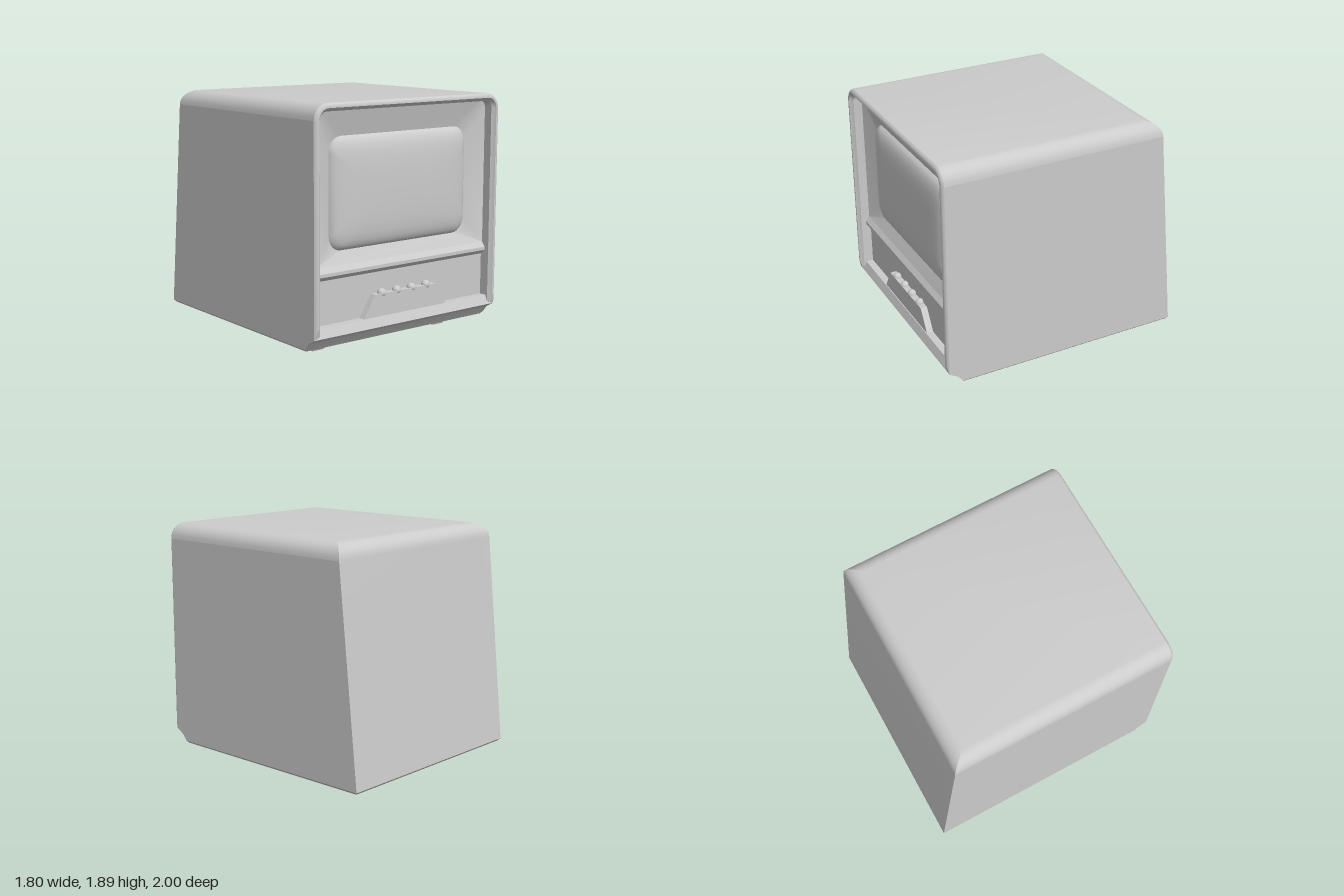
import * as THREE from 'three';
import { toCreasedNormals } from 'three/addons/utils/BufferGeometryUtils.js';

const grey = new THREE.MeshStandardMaterial({ color: 0xcccccc, side: THREE.DoubleSide });

// Surface through rows of equally many points; split(j) picks the quad diagonal
function loft(rows, crease = 0.5, split = () => false) {
  const n = rows[0].length, index = [];
  for (let i = 0; i < rows.length - 1; i++) {
    for (let j = 0; j < n - 1; j++) {
      const a = i * n + j, b = a + 1, c = a + n, d = c + 1;
      if (split(j)) index.push(a, c, d, a, d, b);
      else index.push(a, c, b, b, c, d);
    }
  }
  const geo = new THREE.BufferGeometry();
  geo.setAttribute('position', new THREE.Float32BufferAttribute(rows.flat(2), 3));
  geo.setIndex(index);
  return toCreasedNormals(geo, crease);
}

// Clockwise rounded rectangle, always the same number of points
function roundedRect(hw, y0, y1, rTop, rBottom, z, steps = 6) {
  const pts = [];
  const corners = [[-1, y0, rBottom, 270], [-1, y1, rTop, 180], [1, y1, rTop, 90], [1, y0, rBottom, 0]];
  for (const [s, y, r, start] of corners) {
    const cy = y === y1 ? y1 - r : y0 + r;
    for (let k = 0; k <= steps; k++) {
      const t = THREE.MathUtils.degToRad(start - 90 * k / steps);
      pts.push([s * (hw - r) + r * Math.cos(t), cy + r * Math.sin(t), z]);
    }
  }
  pts.push(pts[0]);
  return pts;
}

const W = 0.9, TOP = 1.89, R = 0.12, N = 6;
const arc = Array.from({ length: N + 1 }, (_, k) => k * Math.PI / 2 / N);

export function createModel() {
  const model = new THREE.Group();
  const add = (name, geo) => {
    const mesh = new THREE.Mesh(geo, grey);
    mesh.name = name;
    model.add(mesh);
    return mesh;
  };

  // Back and top: rounded along the sides and the back, mitred where they meet
  const half = arc.map(t => [W - R + R * Math.cos(t), TOP - R + R * Math.sin(t)]);
  const columns = [...half.map(([x, y]) => [-x, y]), ...half.slice().reverse()];
  const stations = [[-1, 0.11], ...arc.map(t => [-0.7 - 0.13 * Math.cos(t), TOP - R + R * Math.sin(t)]), [0.98, TOP]];
  add('casingTopAndBack', loft(
    stations.map(([z, h]) => columns.map(([x, y]) => [x, Math.min(y, h), z])),
    0.5, j => j < N));

  // Flat side walls and the narrow bevel under each
  const sideShape = new THREE.Shape([[-1, 0.11], [-0.83, TOP - R], [0.98, TOP - R], [0.98, 0.2],
    [0.91, 0.16], [0.87, 0.11]].map(p => new THREE.Vector2(...p)));
  for (const s of [-1, 1]) {
    const wall = new THREE.ShapeGeometry(sideShape).rotateY(-Math.PI / 2);
    add(s > 0 ? 'leftSide' : 'rightSide', wall).position.x = s * W;
    const upper = [[s * W, 0.11, -1], [s * W, 0.11, 0.87]];
    const lower = [[s * 0.88, 0.09, -0.98], [s * 0.88, 0.09, 0.855]];
    if (s > 0) { upper.reverse(); lower.reverse(); }
    add(s > 0 ? 'leftBottomBevel' : 'rightBottomBevel', loft([upper, lower], 0.1));
  }

  // Lip under the screen, control panel, sill, chin and underside as one strip
  const strip = [[0.90, 0.70, 0.84], [0.93, 0.66, 0.84], [0.93, 0.635, 0.84], [0.89, 0.60, 0.84],
    [0.89, 0.27, 0.84], [0.95, 0.27, 0.84], [0.98, 0.20, W], [0.91, 0.16, W], [0.87, 0.11, W],
    [0.855, 0.09, 0.88], [-0.98, 0.09, 0.88], [-1, 0.11, W]];
  add('lowerFrontAndUnderside', loft(strip.map(([z, y, hw]) => [[-hw, y, z], [hw, y, z]]), 0.2));

  // Raised rim around the front opening: [inset, z] swept over an arch
  const rimProfile = [[0, 0.98], [0.008, 0.992], [0.02, 1], [0.035, 1], [0.045, 0.985], [0.06, 0.97], [0.06, 0.89]];
  const rimRows = rimProfile.map(([d, z]) => {
    const foot = z < 0.95 ? 0.27 : z < 0.98 ? 0.27 - (z - 0.95) * 2.33 : 0.2 + 4 * (z - 0.98);
    const side = arc.map(t => [W - R + (R - d) * Math.cos(t), TOP - R + (R - d) * Math.sin(t), z]);
    side.unshift([W - d, foot, z]);
    return [...side.map(([x, y]) => [-x, y, z]), ...side.reverse()];
  });
  add('frontRim', loft(rimRows, 0.6));

  // Closed lower ends of the rim
  for (const end of [0, rimRows[0].length - 1]) {
    const edge = rimRows.slice(0, 6).map(row => row[end]);
    add('rimFoot', loft([edge, edge.map(() => edge[0])], 0.1));
  }

  // Sloping bezel from the opening down to the screen
  const screenRing = (d, z) => roundedRect(0.665 - d, 0.795 + d, 1.635 - d, 0.11, 0.11, z);
  add('bezel', loft([
    roundedRect(0.84, 0.70, 1.83, 0.06, 0.002, 0.90),
    screenRing(0, 0.845)], 0.5));

  // Bulging screen
  const bulge = [[0, 0.845], [0.012, 0.865], [0.035, 0.882], [0.07, 0.896], [0.12, 0.907], [0.2, 0.915], [0.3, 0.918]];
  const screenRows = bulge.map(([d, z]) => screenRing(d, z));
  screenRows.push(screenRows[0].map(() => [0, 1.215, 0.92]));
  add('screen', loft(screenRows, 0.9));

  // Control block with four knobs
  const block = new THREE.Shape([[-0.41, 0.27], [0.41, 0.27], [0.305, 0.44], [-0.305, 0.44]]
    .map(p => new THREE.Vector2(...p)));
  add('controlBlock', new THREE.ExtrudeGeometry(block, { depth: 0.055, bevelEnabled: false })).position.z = 0.888;
  for (let i = 0; i < 4; i++) {
    add('knob', new THREE.SphereGeometry(0.035, 16, 10)).position.set((i - 1.5) * 0.147, 0.44, 0.915);
  }

  // Two long feet, tapered at the bottom edge
  for (const s of [-1, 1]) {
    const geo = new THREE.BoxGeometry(0.14, 0.1, 1.43, 1, 2, 1);
    const p = geo.attributes.position;
    for (let i = 0; i < p.count; i++) {
      if (Math.abs(p.getY(i)) < 0.01) p.setY(i, -0.03);
      else if (p.getY(i) < 0) {
        p.setX(i, p.getX(i) * 0.72);
        p.setZ(i, p.getZ(i) * 0.985);
      }
    }
    const foot = add(s > 0 ? 'leftFoot' : 'rightFoot', toCreasedNormals(geo, 0.3));
    foot.position.set(s * 0.61, 0.05, -0.065);
  }
  return model;
}
